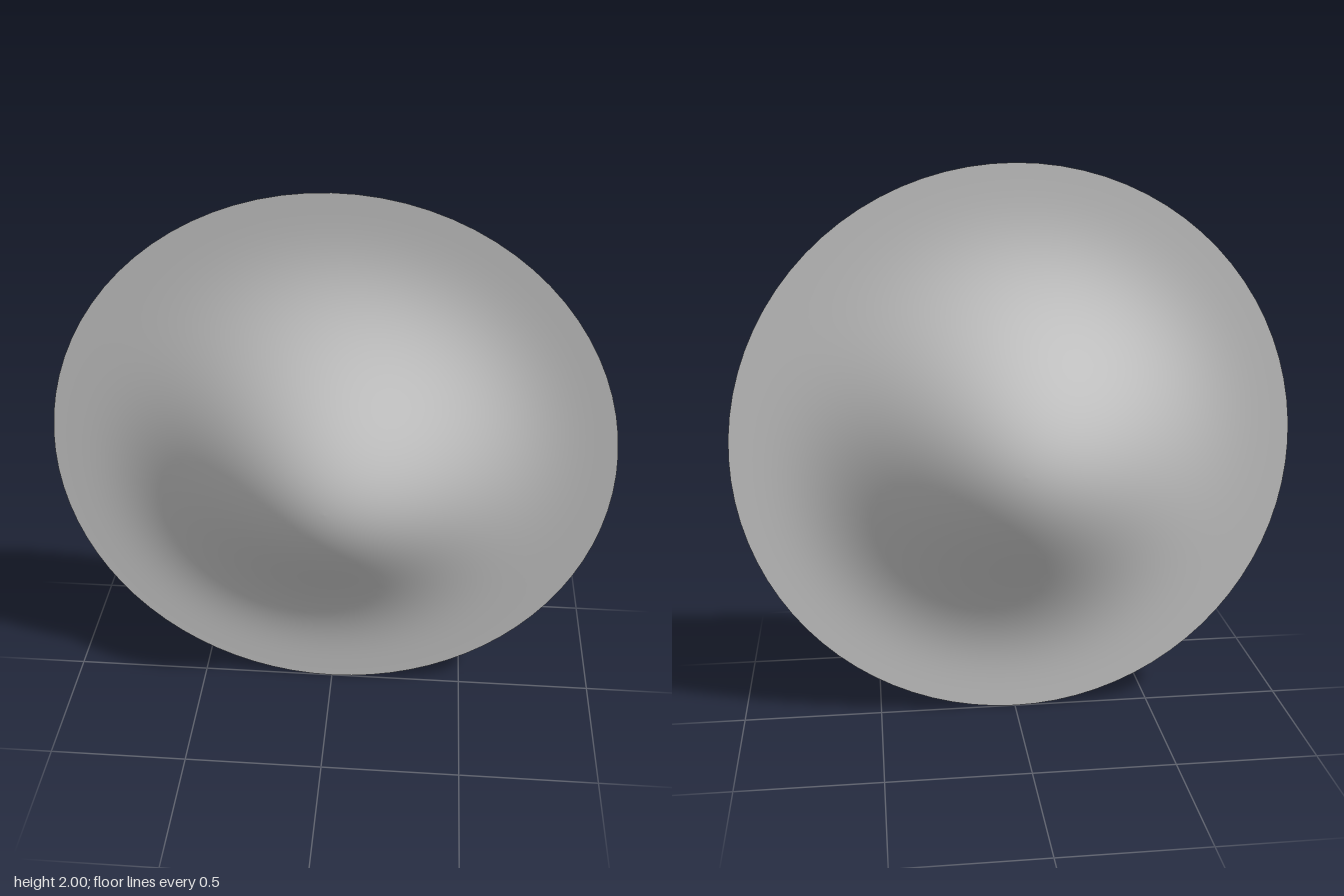
import * as THREE from 'three';

export function createModel() {
  const group = new THREE.Group();
  group.name = 'pinchedDisc';
  const material = new THREE.MeshStandardMaterial({ color: 0xcccccc, side: THREE.DoubleSide });

  // Bell-shaped profile from the sharp rim to the domed centre
  const rings = 48;
  const profile = [];
  for (let i = 0; i <= rings; i++) {
    const r = 1 - i / rings;
    profile.push(new THREE.Vector2(r, 0.335 * Math.pow(1 - r * r, 3.8)));
  }
  const shell = new THREE.LatheGeometry(profile, 80);

  // Two equal shells meet at the rim, one facing front and one facing back
  for (const [name, side] of [['frontDome', 1], ['backDome', -1]]) {
    const dome = new THREE.Mesh(shell, material);
    dome.name = name;
    dome.rotation.x = side * Math.PI / 2;
    dome.position.y = 1;
    group.add(dome);
  }
  return group;
}
